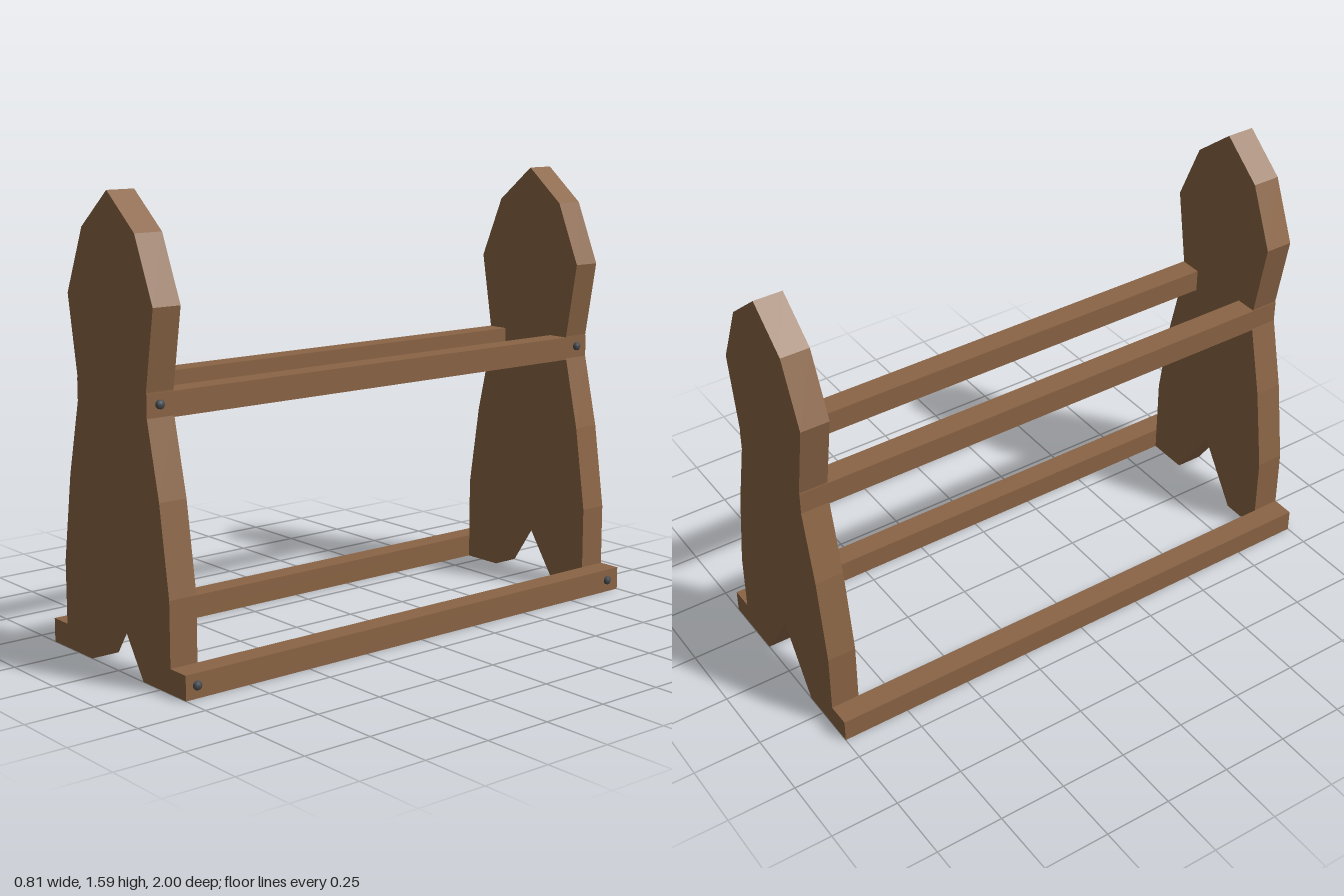
import * as THREE from 'three';

export function createModel() {
  const group = new THREE.Group();
  const wood = new THREE.MeshStandardMaterial({ color: 0x8b6545 });
  wood.name = 'brown wood';
  const metal = new THREE.MeshStandardMaterial({ color: 0x4a4d52 });
  metal.name = 'dark metal';
  const axis = -0.007; // wooden frame's centre line; the bolts stick out on one side

  const add = (name, geometry, material, x, y, z) => {
    const mesh = new THREE.Mesh(geometry, material);
    mesh.name = name;
    mesh.position.set(x, y, z);
    group.add(mesh);
    return mesh;
  };

  // End panels: half outline from foot to tip, mirrored, with a notch between the feet
  const half = [
    [0.157, 0], [0.315, 0], [0.315, 0.31], [0.268, 0.62], [0.205, 0.89],
    [0.205, 0.965], [0.253, 1.24], [0.156, 1.465],
  ];
  const outline = [
    [0, 0.235], ...half, [0, 1.592],
    ...half.map(([x, y]) => [-x, y]).reverse(),
  ].map(([x, y]) => new THREE.Vector2(x, y));
  const panel = new THREE.ExtrudeGeometry(new THREE.Shape(outline), { depth: 0.105, bevelEnabled: false });
  add('frontPanel', panel, wood, axis, 0, 0.895);
  add('backPanel', panel, wood, axis, 0, -1);

  // Long rails: a lower pair outside the feet, an upper pair let into the waist
  const rail = new THREE.BoxGeometry(0.085, 0.085, 2);
  for (const side of [-1, 1]) {
    const label = side > 0 ? 'left' : 'right';
    add(label + 'LowerRail', rail, wood, axis + side * 0.3575, 0.0425, 0);
    add(label + 'UpperRail', rail, wood, axis + side * 0.1645, 0.9185, 0);
  }

  // Bolt heads on the left side only
  const head = new THREE.LatheGeometry([
    [0, 0.013], [0.009, 0.012], [0.016, 0.007], [0.016, -0.01],
  ].map(([r, y]) => new THREE.Vector2(r, y)).reverse(), 12);
  head.rotateZ(-Math.PI / 2);
  for (const [name, x, y, z] of [
    ['lowerFrontBolt', 0.393, 0.045, 0.957], ['lowerBackBolt', 0.393, 0.045, -0.942],
    ['upperFrontBolt', 0.201, 0.924, 0.951], ['upperBackBolt', 0.201, 0.924, -0.948],
  ]) add(name, head, metal, x, y, z);

  return group;
}
